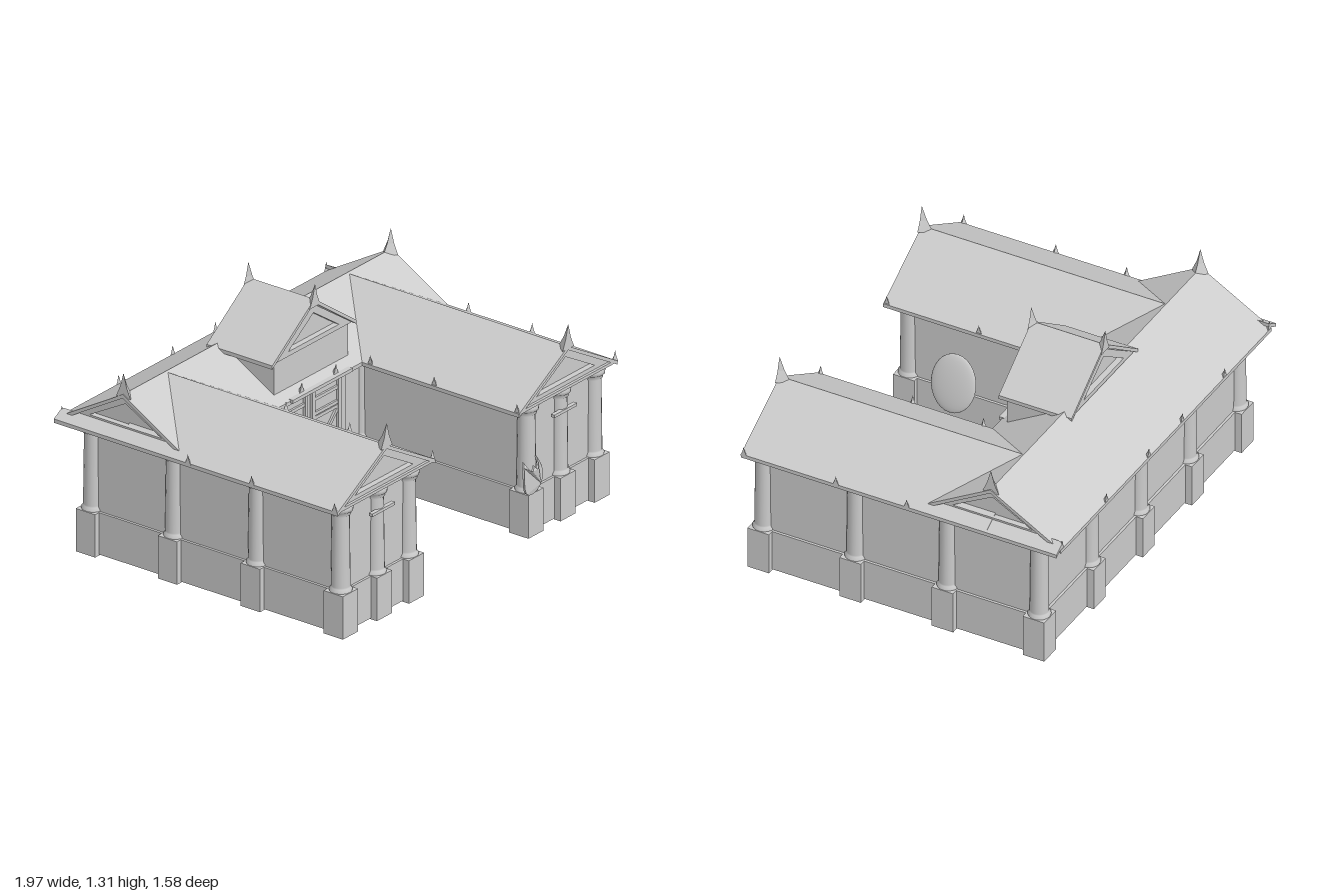
import * as THREE from 'three';

const mat = new THREE.MeshStandardMaterial({ color: 0xcccccc, flatShading: true, side: THREE.DoubleSide });
const smooth = new THREE.MeshStandardMaterial({ color: 0xcccccc, side: THREE.DoubleSide });

function add(parent, name, geo, x = 0, y = 0, z = 0, m = mat) {
  const mesh = new THREE.Mesh(geo, m);
  mesh.name = name;
  mesh.position.set(x, y, z);
  parent.add(mesh);
  return mesh;
}

// Box given by its lower and upper limits
function block(parent, name, x0, x1, y0, y1, z0, z1) {
  return add(parent, name, new THREE.BoxGeometry(x1 - x0, y1 - y0, z1 - z0), (x0 + x1) / 2, (y0 + y1) / 2, (z0 + z1) / 2);
}

const polygon = pts => new THREE.Shape(pts.map(p => new THREE.Vector2(...p)));
const extrude = (shape, depth) => new THREE.ExtrudeGeometry(shape, { depth, bevelEnabled: false });

// Gabled roof slab running along z
function roof(parent, name, half, eave, ridge, z0, z1, x = 0, t = 0.018) {
  const s = polygon([[-half, eave - t], [0, ridge - t], [half, eave - t], [half, eave], [0, ridge], [-half, eave]]);
  return add(parent, name, extrude(s, z1 - z0), x, 0, z0);
}

// Triangular gable with a recessed panel, facing +z, its front at z = 0
function pediment(parent, name, half, height, x, y, z, turn = 0) {
  const g = new THREE.Group();
  g.name = name;
  const frame = polygon([[-half, 0], [half, 0], [0, height]]);
  const k = 0.66, lift = height * 0.12;
  frame.holes.push(polygon([[-half * k, lift], [0, lift + height * k], [half * k, lift]]));
  add(g, 'gableFrame', extrude(frame, 0.03), 0, 0, -0.03);
  add(g, 'gablePanel', new THREE.ShapeGeometry(polygon([[-half, 0], [half, 0], [0, height]])), 0, 0, -0.028);
  g.position.set(x, y, z);
  g.rotation.y = turn;
  parent.add(g);
}

// Three-sided concave spike with its upright face towards +z
function spikeGeometry() {
  const ring = (w, d, y) => [[-w, y, 0], [w, y, 0], [0, y, -d]];
  const rings = [ring(0.04, 0.055, 0), ring(0.018, 0.026, 0.05), ring(0.0005, 0.001, 0.115)];
  const index = [];
  for (let r = 0; r < 2; r++) for (let i = 0; i < 3; i++) {
    const a = r * 3 + i, b = r * 3 + (i + 1) % 3;
    index.push(a, b, b + 3, a, b + 3, a + 3);
  }
  index.push(0, 2, 1);
  const geo = new THREE.BufferGeometry();
  geo.setAttribute('position', new THREE.Float32BufferAttribute(rings.flat(2), 3));
  geo.setIndex(index);
  geo.computeVertexNormals();
  return geo;
}
const spike = spikeGeometry();
function finial(parent, name, x, y, z, turn, size = 1) {
  const f = add(parent, name, spike, x, y, z);
  f.rotation.y = turn;
  f.scale.setScalar(size);
}

// Column on a square pedestal that is open underneath
const columnGeo = new THREE.LatheGeometry([
  [0.05, 0.412], [0.052, 0.422], [0.043, 0.432], [0.043, 0.44], [0.039, 0.775], [0.046, 0.782],
  [0.041, 0.79], [0.054, 0.8], [0.056, 0.815], [0.05, 0.835]].map(p => new THREE.Vector2(...p)), 18);
const pedestalGeo = new THREE.BoxGeometry(0.106, 0.205, 0.106);
const faces = Array.from(pedestalGeo.index.array);
faces.splice(18, 6);
pedestalGeo.setIndex(faces);
function column(parent, x, z) {
  add(parent, 'column', columnGeo, x, 0, z, smooth);
  add(parent, 'pedestal', pedestalGeo, x, 0.3125, z);
}

export function createModel() {
  const model = new THREE.Group();
  model.name = 'courtyardHall';
  const PI = Math.PI;

  // Walls and plinth around the U-shaped plan
  const plan = [[-0.89, -0.65], [0.89, -0.65], [0.89, 0.71], [0.41, 0.71], [0.41, -0.2],
    [-0.41, -0.2], [-0.41, 0.71], [-0.89, 0.71]];
  plan.forEach(([x, z], i) => {
    const [u, v] = plan[(i + 1) % plan.length];
    for (const [name, y0, y1, t] of [['wall', 0.41, 0.84, 0.008], ['plinth', 0.215, 0.415, 0.02]]) {
      block(model, name, Math.min(x, u) - t, Math.max(x, u) + t, y0, y1, Math.min(z, v) - t, Math.max(z, v) + t);
    }
  });

  // Columns
  for (const s of [-1, 1]) {
    for (const z of [0.71, 0.255, -0.2, -0.65]) column(model, s * 0.885, z);
    column(model, s * 0.645, 0.71);
    column(model, s * 0.42, 0.71);
    column(model, s * 0.42, -0.2);
    column(model, s * 0.44, -0.65);
  }
  column(model, 0, -0.65);

  // Main roof along x, with gables at both ends
  const main = new THREE.Group();
  main.name = 'mainRoof';
  roof(main, 'roofSlab', 0.348, 0.835, 1.037, -0.945, 0.945);
  main.rotation.y = PI / 2;
  main.position.z = -0.44;
  model.add(main);

  for (const s of [-1, 1]) {
    pediment(model, 'endGable', 0.3, 0.165, s * 0.925, 0.857, -0.44, s * PI / 2);
    finial(model, 'endFinial', s * 0.94, 1.02, -0.44, s * PI / 2);

    // Wing roof, its front gable, and the eave carried on to the back corner
    roof(model, 'wingRoof', 0.346, 0.835, 1.032, -0.44, 0.77, s * 0.638);
    add(model, 'sideEave', extrude(polygon([[s * 0.925, 0.868], [s * 0.984, 0.835], [s * 0.984, 0.817], [s * 0.925, 0.85]]), 0.35), 0, 0, -0.788);
    pediment(model, 'frontGable', 0.31, 0.176, s * 0.638, 0.84, 0.755);
    block(model, 'architrave', s * 0.638 - 0.33, s * 0.638 + 0.33, 0.828, 0.842, 0.66, 0.768);
    finial(model, 'wingFinial', s * 0.638, 1.02, 0.77, 0);

    // Small ornaments along the eaves
    for (const z of [0.755, 0.3, -0.05]) {
      finial(model, 'eaveOrnament', s * 0.987, 0.83, z, s * PI / 2, 0.42);
      finial(model, 'eaveOrnament', s * 0.296, 0.83, z, -s * PI / 2, 0.42);
    }
    for (const x of [0.93, 0.53, 0.15]) finial(model, 'eaveOrnament', s * x, 0.83, -0.787, PI, 0.42);
    finial(model, 'eaveOrnament', s * 0.12, 0.84, -0.1, 0, 0.42);

    // Cross bar on the middle front column
    block(model, 'crossBar', s * 0.64 - 0.08, s * 0.64 + 0.08, 0.713, 0.727, 0.735, 0.755);
  }

  // Raised gabled block over the entrance
  block(model, 'upperBlock', -0.26, 0.26, 0.84, 1.03, -0.47, -0.145);
  roof(model, 'upperRoof', 0.297, 1.025, 1.235, -0.485, -0.125);
  pediment(model, 'upperGable', 0.27, 0.185, 0, 1.025, -0.13);
  pediment(model, 'upperGable', 0.27, 0.185, 0, 1.025, -0.48, PI);
  finial(model, 'upperFinial', 0, 1.2, -0.122, 0, 0.92);
  finial(model, 'upperFinial', 0, 1.2, -0.488, PI, 0.92);
  block(model, 'entranceLedge', -0.21, 0.21, 0.826, 0.842, -0.2, -0.078);

  // Entrance: backing panel, door frame and braced double door
  const door = new THREE.Group();
  door.name = 'entrance';
  add(door, 'backingPanel', new THREE.PlaneGeometry(0.76, 0.83), 0, 0.415, -0.178);
  block(door, 'doorSlab', -0.255, 0.255, 0.1, 0.835, -0.2, -0.16);
  block(door, 'sill', -0.215, 0.215, 0.22, 0.235, -0.165, -0.15);
  block(door, 'sillTop', -0.215, 0.215, 0.295, 0.31, -0.165, -0.15);
  for (const s of [-1, 1]) {
    block(door, 'frameSide', s * 0.237 - 0.018, s * 0.237 + 0.018, 0.1, 0.835, -0.165, -0.153);
    block(door, 'sillEnd', s * 0.208 - 0.007, s * 0.208 + 0.007, 0.22, 0.31, -0.165, -0.15);
    for (const x of [0.025, 0.208]) block(door, 'stile', s * x - 0.01, s * x + 0.01, 0.36, 0.825, -0.225, -0.148);
    for (const y of [0.37, 0.45, 0.645, 0.665, 0.735, 0.815]) {
      block(door, 'rail', s * 0.116 - 0.09, s * 0.116 + 0.09, y - 0.008, y + 0.008, -0.165, -0.15);
    }
    for (const t of [-1, 1]) {
      const brace = add(door, 'brace', new THREE.BoxGeometry(0.26, 0.016, 0.014), s * 0.116, 0.547, -0.157);
      brace.rotation.z = t * 0.81;
    }
  }
  model.add(door);

  // Crescent shield at the front corner, bowed towards its middle
  const crescent = new THREE.Shape();
  crescent.moveTo(-0.045, 0.085);
  crescent.bezierCurveTo(-0.085, 0, -0.06, -0.08, 0, -0.08);
  crescent.bezierCurveTo(0.06, -0.08, 0.085, 0, 0.045, 0.085);
  crescent.quadraticCurveTo(0.035, 0.045, 0.015, 0.04);
  crescent.lineTo(0, 0.06);
  crescent.lineTo(-0.015, 0.04);
  crescent.quadraticCurveTo(-0.035, 0.045, -0.045, 0.085);
  const shield = extrude(crescent, 0.01);
  const p = shield.attributes.position;
  for (let i = 0; i < p.count; i++) p.setZ(i, p.getZ(i) - 4 * (p.getX(i) ** 2 + p.getY(i) ** 2));
  shield.computeVertexNormals();
  add(model, 'crescentShield', shield, 0.385, 0.497, 0.785);

  // Oval shield leaning on the inner wall of one wing
  const oval = add(model, 'ovalShield', new THREE.SphereGeometry(1, 24, 14), -0.342, 0.49, 0.45, smooth);
  oval.scale.set(0.02, 0.137, 0.11);
  oval.rotation.z = 0.27;

  return model;
}
